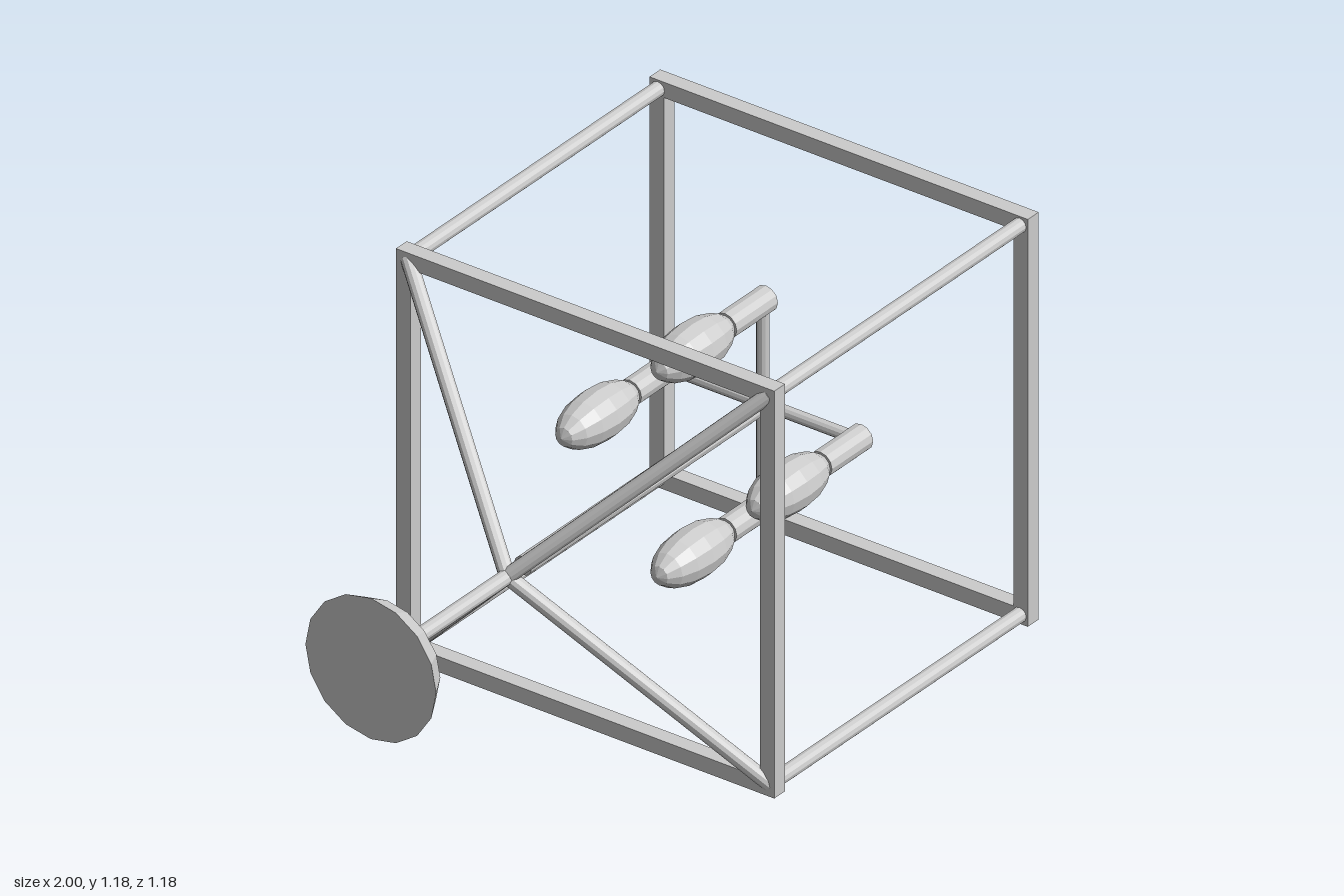
import * as THREE from 'three';

export function createModel() {
  const model = new THREE.Group();
  model.name = 'cageLantern';
  const metal = new THREE.MeshStandardMaterial({ color: 0xcccccc, flatShading: true });
  metal.name = 'paleGrey';
  const MID = 0.59, HALF = 0.59, BAR = 0.045;

  function add(name, geometry, parent = model) {
    const mesh = new THREE.Mesh(geometry, metal);
    mesh.name = name;
    parent.add(mesh);
    return mesh;
  }

  // Round rod between two points, measured from the lantern's axis
  function rod(name, a, b, radius, sides = 12, endRadius = radius) {
    const start = new THREE.Vector3(...a), end = new THREE.Vector3(...b);
    const dir = end.clone().sub(start);
    const mesh = add(name, new THREE.CylinderGeometry(endRadius, radius, dir.length(), sides));
    mesh.position.copy(start).add(end).multiplyScalar(0.5);
    mesh.position.y += MID;
    mesh.quaternion.setFromUnitVectors(new THREE.Vector3(0, 1, 0), dir.normalize());
    return mesh;
  }

  // Mounting plate and the stem to the cage
  rod('canopy', [-1, 0, 0], [-0.932, 0, 0], 0.204, 16, 0.166);
  rod('stem', [-0.94, 0, 0], [-0.42, 0, 0], 0.021);
  rod('lampStem', [-0.365, 0, 0], [0.662, 0, 0], 0.027);

  // Two square frames
  for (const [name, x] of [['innerFrame', -0.082], ['outerFrame', 0.9775]]) {
    const frame = new THREE.Group();
    frame.name = name;
    frame.position.set(x, MID, 0);
    model.add(frame);
    for (const s of [-1, 1]) {
      add('frameRail', new THREE.BoxGeometry(BAR, BAR, HALF * 2), frame)
        .position.y = s * (HALF - BAR / 2);
      add('framePost', new THREE.BoxGeometry(BAR, HALF * 2 - BAR * 2, BAR), frame)
        .position.z = s * (HALF - BAR / 2);
    }
  }

  // Long corner rods and the diagonal braces
  for (const sy of [-1, 1]) {
    for (const sz of [-1, 1]) {
      const y = sy * 0.564, z = sz * 0.564;
      rod('cornerRod', [-0.082, y, z], [0.9775, y, z], 0.021);
      rod('brace', [-0.43, 0, 0], [-0.088, y, z], 0.021);
    }
  }

  // Four candle lamps on a cross of arms
  for (let i = 0; i < 4; i++) {
    const y = Math.round(Math.cos(i * Math.PI / 2)) * 0.297;
    const z = Math.round(Math.sin(i * Math.PI / 2)) * 0.297;
    rod('arm', [0.638, 0, 0], [0.638, y, z], 0.017);
    rod('socket', [0.48, y, z], [0.652, y, z], 0.037);
    const bulb = add('bulb', new THREE.SphereGeometry(1, 12, 8));
    bulb.scale.set(0.07, 0.152, 0.07);
    bulb.rotation.z = -Math.PI / 2;
    bulb.position.set(0.345, MID + y, z);
  }
  return model;
}
